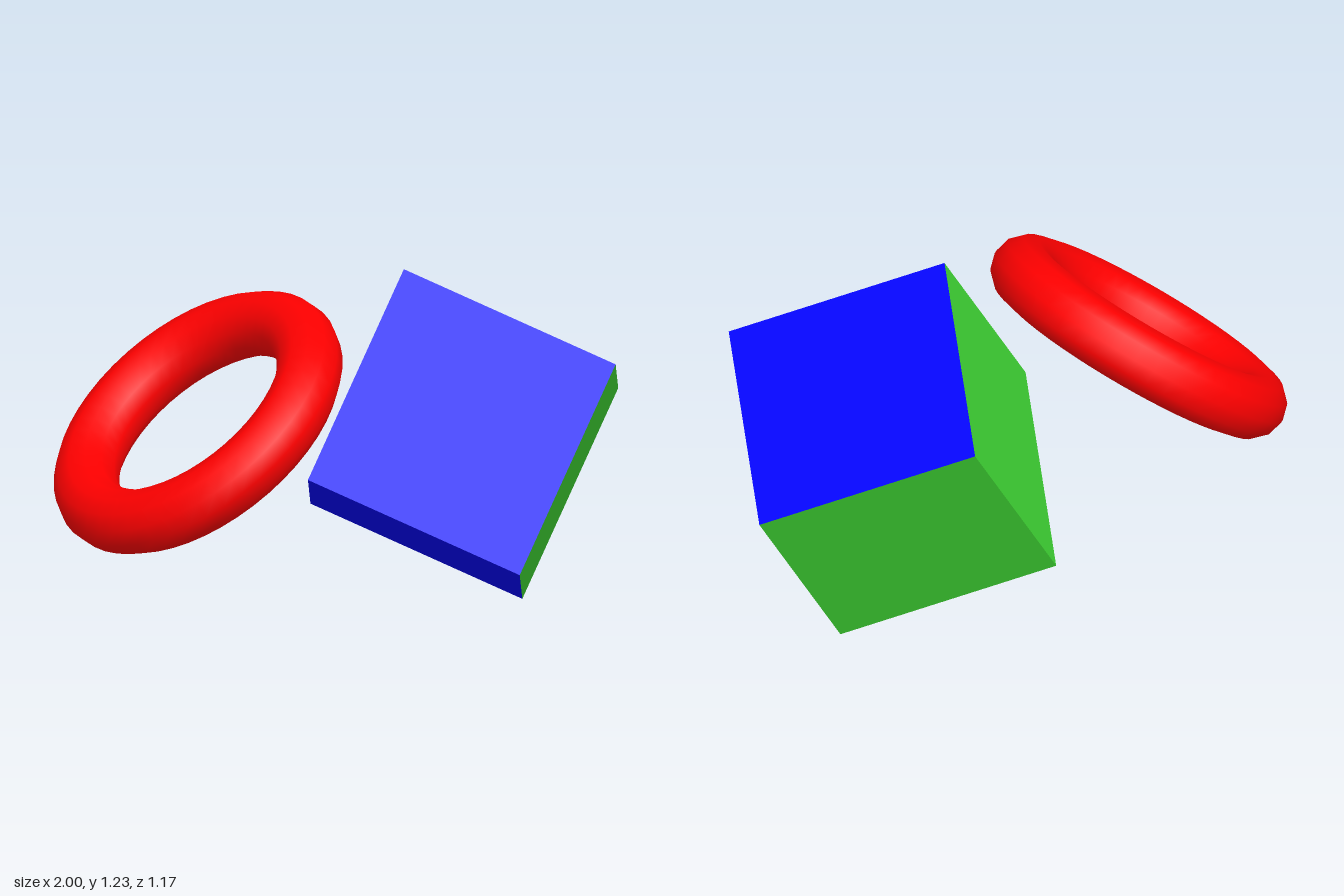
import * as THREE from 'three';

const mat = (color) => new THREE.MeshStandardMaterial({ color });

export function createModel() {
  const model = new THREE.Group();

  // Tilted ring, smooth, with a twelve-sided tube
  const ring = new THREE.Mesh(new THREE.TorusGeometry(0.437, 0.108, 12, 48), mat(0xff0000));
  ring.name = 'ring';
  ring.position.set(-0.545, 0.77, 0.015);
  const axis = new THREE.Vector3(-0.605, 0.795, 0.06).normalize();
  ring.quaternion.setFromUnitVectors(new THREE.Vector3(0, 0, 1), axis);
  model.add(ring);

  // Tumbled cube: three faces green, three faces blue
  const green = mat(0x40d935);
  const blue = mat(0x0000ff);
  const cube = new THREE.Mesh(
    new THREE.BoxGeometry(0.76, 0.76, 0.76),
    [green, green, blue, blue, blue, green]
  );
  cube.name = 'cube';
  cube.position.set(0.378, 0.622, 0);

  // Cube orientation from its own right, up and front directions
  const right = new THREE.Vector3(0.61, -0.283, 0.36).normalize();
  const front = new THREE.Vector3(-0.235, 0.315, 0.65).normalize();
  const up = new THREE.Vector3().crossVectors(front, right).normalize();
  front.crossVectors(right, up);
  cube.quaternion.setFromRotationMatrix(new THREE.Matrix4().makeBasis(right, up, front));
  model.add(cube);

  return model;
}
